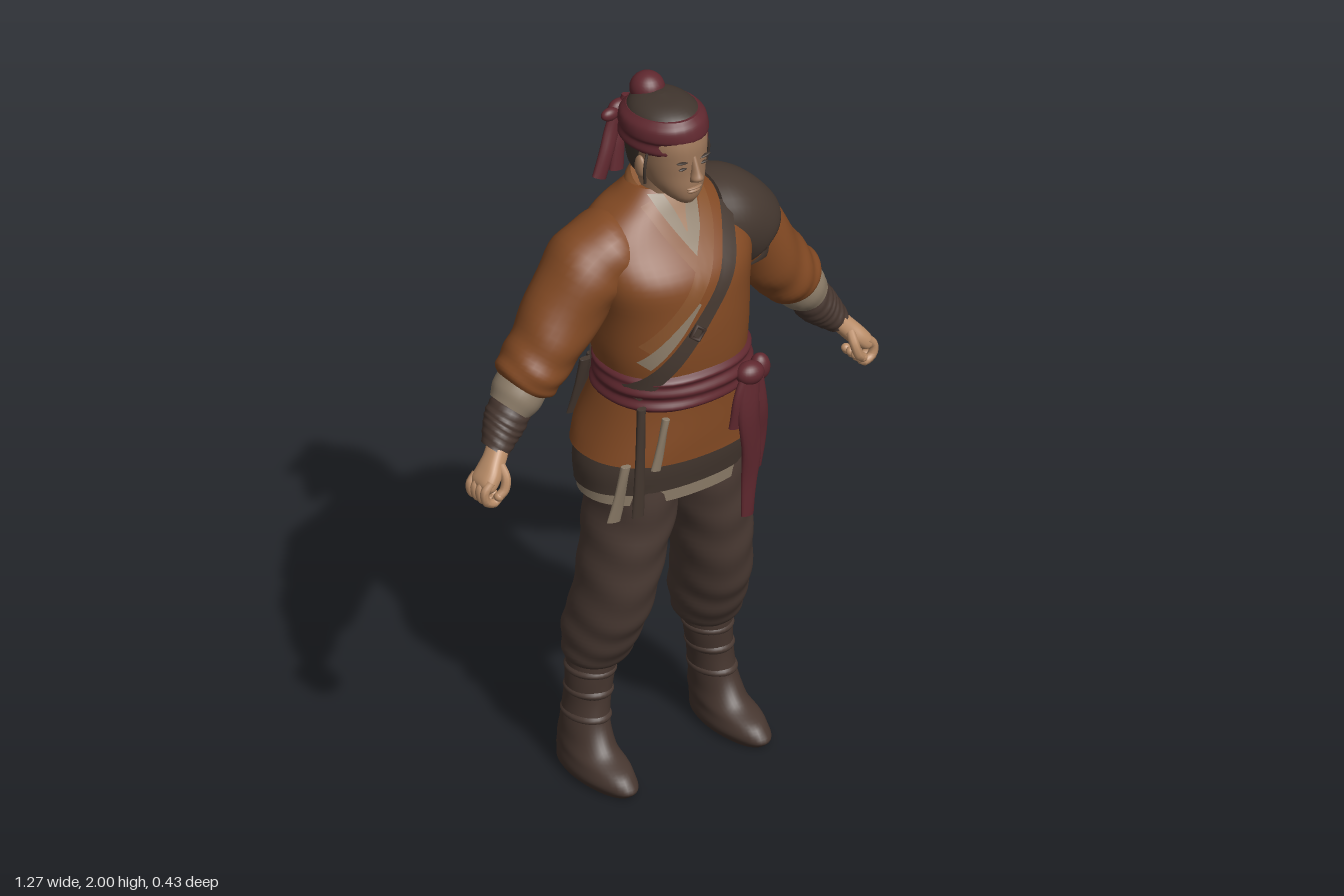
import * as THREE from 'three';

const mat = (name, color, extra) => Object.assign(new THREE.MeshStandardMaterial({ color, ...extra }), { name });
const M = {
  jacket: mat('rust jacket', 0x824923),
  lapel: mat('tan lapel', 0x87522b, { side: THREE.DoubleSide }),
  trousers: mat('brown trousers', 0x4b3b34),
  boots: mat('boot leather', 0x46362f),
  leather: mat('grey leather', 0x453830, { side: THREE.DoubleSide }),
  sash: mat('wine sash', 0x60282f),
  linen: mat('linen', 0x8d7d69, { side: THREE.DoubleSide }),
  skin: mat('hand skin', 0xbb8e69),
  face: mat('face skin', 0x9d775a, { side: THREE.DoubleSide }),
  hair: mat('dark hair', 0x40352e),
};

// Smoothly subdivide rows of [x, y, z, halfWidth, halfDepth]
function sample(rows, steps) {
  const path = new THREE.CatmullRomCurve3(rows.map(r => new THREE.Vector3(r[0], r[1], r[2])), false, 'catmullrom', 0.5);
  const size = new THREE.CatmullRomCurve3(rows.map(r => new THREE.Vector3(r[3], r[4], 0)), false, 'catmullrom', 0.5);
  const n = (rows.length - 1) * steps;
  return Array.from({ length: n + 1 }, (_, i) => {
    const c = path.getPoint(i / n), s = size.getPoint(i / n);
    return [c.x, c.y, c.z, s.x, s.y];
  });
}

// Skin a closed tube over oval cross-sections; flat keeps every section level
function loft(group, name, material, rows, { n = 28, steps = 5, p = 2, flat = false, fold = 0, freq = 20, tilt = 0 } = {}) {
  const list = sample(rows, steps), last = list.length - 1, pos = [], idx = [];
  const rings = list.map((r, i) => {
    const a = list[Math.max(0, i - 1)], b = list[Math.min(last, i + 1)];
    let tx = flat ? 0 : b[0] - a[0], ty = b[1] - a[1];
    const len = Math.hypot(tx, ty) || 1;
    tx /= len; ty /= len;
    return Array.from({ length: n }, (_, j) => {
      const th = j / n * Math.PI * 2, c = Math.cos(th), s = Math.sin(th);
      const k = 1 + fold * Math.sin(freq * i / last + 1.6 * Math.sin(2 * th + 1) + Math.cos(th));
      const u = Math.sign(c) * Math.abs(c) ** (2 / p) * r[3] * k;
      const v = Math.sign(s) * Math.abs(s) ** (2 / p) * r[4] * k;
      return [r[0] - ty * u, r[1] + tx * u + tilt * s, r[2] + v];
    });
  });
  rings.forEach(ring => ring.forEach(q => pos.push(...q)));
  for (let i = 0; i < last; i++) for (let j = 0; j < n; j++) {
    const a = i * n + j, b = i * n + (j + 1) % n;
    idx.push(a, b, b + n, a, b + n, a + n);
  }
  [0, last].forEach(e => {                       // end caps
    const base = pos.length / 3;
    rings[e].forEach(q => pos.push(...q));
    pos.push(list[e][0], list[e][1], list[e][2]);
    for (let j = 0; j < n; j++) {
      const a = base + j, b = base + (j + 1) % n;
      idx.push(base + n, e ? a : b, e ? b : a);
    }
  });
  return addMesh(group, name, material, pos, idx);
}

function addMesh(group, name, material, pos, idx) {
  const g = new THREE.BufferGeometry();
  g.setAttribute('position', new THREE.Float32BufferAttribute(pos, 3));
  g.setIndex(idx);
  g.computeVertexNormals();
  return add(group, name, material, g);
}

function add(group, name, material, geometry, x = 0, y = 0, z = 0, scale = [1, 1, 1]) {
  const m = new THREE.Mesh(geometry, material);
  m.name = name;
  m.position.set(x, y, z);
  m.scale.set(...scale);
  group.add(m);
  return m;
}

const ball = new THREE.SphereGeometry(1, 24, 16);
const tube = (pts, r) => new THREE.TubeGeometry(new THREE.CatmullRomCurve3(pts.map(q => new THREE.Vector3(...q))), 12, r, 8);

const TORSO_P = 2.3;
const TORSO = [
  [0, 1.10, -.01, .205, .165], [0, 1.20, -.005, .198, .168], [0, 1.29, -.012, .208, .184],
  [0, 1.40, -.022, .215, .19], [0, 1.50, -.028, .233, .182], [0, 1.58, -.055, .232, .146],
  [0, 1.64, -.065, .18, .112], [0, 1.68, -.065, .115, .087], [0, 1.71, -.065, .078, .066]];
const TORSO_FINE = sample(TORSO, 5);

// Depth of the torso surface at (x, y), on the front (+1) or back (-1)
function torsoZ(x, y, side, off) {
  let i = TORSO_FINE.findIndex(r => r[1] >= y);
  if (i < 1) i = i < 0 ? TORSO_FINE.length - 1 : 1;
  const a = TORSO_FINE[i - 1], b = TORSO_FINE[i], t = THREE.MathUtils.clamp((y - a[1]) / (b[1] - a[1]), 0, 1);
  const mix = k => a[k] + (b[k] - a[k]) * t;
  const k = Math.min(1, Math.abs(x) / (mix(3) + off));
  return mix(2) + side * (mix(4) + off) * (1 - k ** TORSO_P) ** (1 / TORSO_P);
}

// Cloth strip through [x, y, width] points, lying on the torso
function ribbon(group, name, material, pts, side, off) {
  const curve = new THREE.CatmullRomCurve3(pts.map(q => new THREE.Vector3(...q)));
  const N = 28, C = 4, pos = [], idx = [];
  for (let i = 0; i <= N; i++) {
    const c = curve.getPoint(i / N), t = curve.getTangent(i / N), l = Math.hypot(t.x, t.y);
    for (let j = 0; j <= C; j++) {
      const w = (j / C - .5) * c.z, x = c.x - t.y / l * w, y = c.y + t.x / l * w;
      pos.push(x, y, torsoZ(x, y, side, off));
      const a = i * (C + 1) + j;
      if (i < N && j < C) {
        const q = [a, a + C + 1, a + C + 2, a, a + C + 2, a + 1];
        idx.push(...(side > 0 ? q.reverse() : q));
      }
    }
  }
  addMesh(group, name, material, pos, idx);
}

function buildHead(g) {
  loft(g, 'neck', M.face, [[0, 1.58, -.055, .065, .06], [0, 1.68, -.045, .06, .062], [0, 1.77, -.03, .064, .07]], { flat: true });
  loft(g, 'face', M.face, [
    [0, 1.70, .052, .024, .034], [0, 1.72, .032, .048, .066], [0, 1.75, .008, .068, .095], [0, 1.79, -.01, .081, .112],
    [0, 1.83, -.012, .087, .115], [0, 1.87, -.016, .09, .118], [0, 1.92, -.02, .08, .11]], { flat: true, p: 2.15 });
  loft(g, 'nose', M.face, [[0, 1.845, .094, .007, .01], [0, 1.805, .106, .011, .017], [0, 1.785, .112, .017, .019], [0, 1.772, .1, .013, .01]], { flat: true, n: 14 });
  add(g, 'upperLip', M.face, ball, 0, 1.752, .1, [.024, .004, .009]);
  add(g, 'lowerLip', M.face, ball, 0, 1.742, .098, [.02, .006, .009]);
  for (const s of [-1, 1]) {
    add(g, 'eye', M.hair, ball, s * .034, 1.815, .097, [.013, .0035, .005]);
    add(g, 'brow', M.hair, ball, s * .036, 1.834, .098, [.018, .003, .006]).rotation.z = s * .15;
    add(g, 'ear', M.face, ball, s * .089, 1.792, -.012, [.012, .032, .019]);
    add(g, 'sideLock', M.hair, tube([[s * .09, 1.85, .02], [s * .102, 1.81, .025], [s * .098, 1.76, .02]], .004));
  }
  loft(g, 'backHair', M.hair, [[0, 1.73, -.075, .05, .045], [0, 1.77, -.06, .078, .073], [0, 1.85, -.05, .097, .092]], { flat: true });
  loft(g, 'hairCrown', M.hair, [[0, 1.88, -.03, .1, .123], [0, 1.93, -.033, .088, .108], [0, 1.956, -.04, .056, .07], [0, 1.966, -.045, .008, .01]], { flat: true });
  loft(g, 'headband', M.sash, [
    [0, 1.836, -.03, .092, .118], [0, 1.85, -.034, .107, .131], [0, 1.872, -.034, .103, .128], [0, 1.886, -.034, .109, .134],
    [0, 1.915, -.034, .105, .128], [0, 1.934, -.034, .088, .108]], { flat: true, fold: .012, freq: 8, tilt: .005 });
  add(g, 'topKnot', M.sash, ball, 0, 1.953, -.102, [.046, .045, .047]);
  add(g, 'headbandKnot', M.sash, ball, -.05, 1.885, -.155, [.034, .026, .022]);
  add(g, 'headbandKnot', M.sash, ball, -.095, 1.89, -.135, [.026, .018, .016]);
  loft(g, 'headbandTail', M.sash, [[-.05, 1.89, -.158, .015, .014], [-.07, 1.83, -.158, .023, .014], [-.095, 1.77, -.15, .022, .014], [-.122, 1.705, -.145, .022, .012]], { n: 14 });
  loft(g, 'headbandTail', M.sash, [[-.03, 1.92, -.148, .015, .014], [-.045, 1.84, -.162, .021, .014], [-.055, 1.78, -.155, .02, .014], [-.065, 1.71, -.148, .022, .012]], { n: 14 });
}

function buildTorso(g) {
  loft(g, 'jacketBody', M.jacket, TORSO, { n: 48, p: TORSO_P, flat: true, fold: .005, freq: 26 });
  loft(g, 'collar', M.lapel, [[0, 1.65, -.062, .1, .085], [0, 1.695, -.06, .085, .078], [0, 1.715, -.058, .07, .068]], { flat: true, tilt: -.03 });
  // crossed neckline
  ribbon(g, 'shirtNeckline', M.linen, [[-.008, 1.53, .004], [-.003, 1.62, .09], [0, 1.7, .14]], 1, .006);
  ribbon(g, 'chest', M.face, [[-.005, 1.61, .004], [-.003, 1.655, .03], [0, 1.7, .07]], 1, .009);
  ribbon(g, 'rightLapel', M.lapel, [[-.085, 1.685, .03], [-.058, 1.62, .034], [-.01, 1.53, .034]], 1, .009);
  ribbon(g, 'leftLapel', M.lapel, [[.085, 1.685, .03], [.058, 1.61, .04], [-.035, 1.49, .042], [-.17, 1.33, .04]], 1, .011);
  ribbon(g, 'shirtEdge', M.linen, [[-.035, 1.45, .008], [-.1, 1.375, .026], [-.175, 1.285, .034]], 1, .012);
  // shoulder strap
  ribbon(g, 'frontStrap', M.leather, [[.145, 1.63, .042], [.1, 1.555, .042], [-.06, 1.36, .042], [-.195, 1.19, .042]], 1, .014);
  ribbon(g, 'backStrap', M.leather, [[.14, 1.635, .036], [.09, 1.53, .036], [-.02, 1.37, .036], [-.165, 1.19, .036]], -1, .009);
  add(g, 'strapBuckle', M.boots, new THREE.TorusGeometry(.022, .006, 6, 4), -.05, 1.372, torsoZ(-.05, 1.372, 1, .016)).rotation.z = .1;
  // layered skirts
  loft(g, 'jacketSkirt', M.jacket, [[0, .985, -.024, .262, .19], [0, 1.04, -.023, .248, .188], [0, 1.12, -.012, .222, .175], [0, 1.2, 0, .195, .165]], { n: 48, p: 2.2, flat: true, fold: .008, freq: 5 });
  loft(g, 'leatherSkirt', M.leather, [[0, .88, -.03, .255, .164], [0, .95, -.028, .257, .176], [0, 1.04, -.02, .235, .175]], { n: 48, p: 2.2, flat: true, tilt: .012 });
  loft(g, 'shirtHem', M.linen, [[0, .853, -.028, .249, .158], [0, .95, -.028, .245, .165]], { n: 48, p: 2.2, flat: true, tilt: .004 });
  // sash, knot and hanging ends
  loft(g, 'sash', M.sash, [
    [0, 1.14, 0, .2, .168], [0, 1.155, .002, .216, .182], [0, 1.177, .002, .209, .176], [0, 1.195, .004, .215, .183],
    [0, 1.215, .003, .208, .176], [0, 1.23, .003, .21, .179], [0, 1.245, 0, .195, .165]], { n: 48, p: 2.2, flat: true, fold: .01, freq: 9 });
  add(g, 'sashKnot', M.sash, ball, .12, 1.19, .178, [.04, .032, .032]);
  add(g, 'sashLoop', M.sash, ball, .165, 1.185, .16, [.028, .038, .026]);
  loft(g, 'sashTail', M.sash, [[.115, 1.19, .185, .026, .016], [.11, 1.08, .188, .034, .016], [.12, .96, .182, .03, .013], [.122, .86, .172, .023, .011], [.12, .76, .168, .02, .008]], { n: 18, fold: .08, freq: 9 });
  loft(g, 'sashTail', M.sash, [[.135, 1.19, .18, .022, .014], [.15, 1.08, .18, .025, .014], [.155, .98, .168, .022, .01], [.15, .89, .16, .02, .008]], { n: 18, fold: .06, freq: 8 });
  loft(g, 'sashTail', M.sash, [[.105, 1.19, .185, .015, .012], [.085, 1.12, .182, .022, .012], [.075, 1.04, .176, .02, .01]], { n: 18, fold: .06, freq: 6 });
  // hanging scraps at the right hip and back
  const scraps = [
    [M.linen, [-.14, 1.14, .168], [-.165, .99, .158], .014],
    [M.leather, [-.19, 1.17, .13], [-.19, .84, .115], .018],
    [M.linen, [-.225, 1.0, .11], [-.245, .83, .085], .02],
    [M.leather, [-.165, 1.18, -.145], [-.165, 1.0, -.192], .024],
    [M.leather, [-.135, 1.18, -.16], [-.13, 1.03, -.202], .018]];
  for (const [m, a, b, w] of scraps) loft(g, 'hangingStrip', m, [[...a, w * .7, .01], [...b, w, .008]], { n: 12, fold: .1, freq: 7 });
}

function buildArm(s) {
  const g = new THREE.Group();
  g.name = s > 0 ? 'leftArm' : 'rightArm';
  const side = rows => rows.map(r => [s * r[0], ...r.slice(1)]);
  loft(g, 'sleeve', M.jacket, side([
    [.12, 1.56, -.06, .1, .11], [.19, 1.535, -.06, .112, .12], [.253, 1.48, -.062, .109, .114], [.342, 1.362, -.057, .096, .1],
    [.393, 1.298, -.055, .086, .095], [.425, 1.26, -.055, .083, .09], [.442, 1.238, -.054, .062, .07]]), { n: 32, fold: .03, freq: 30 });
  loft(g, 'shirtCuff', M.linen, side([[.415, 1.27, -.055, .064, .07], [.452, 1.222, -.054, .068, .073], [.478, 1.192, -.052, .056, .06]]));
  loft(g, 'bracer', M.boots, side([[.455, 1.215, -.052, .05, .055], [.49, 1.165, -.05, .056, .06], [.515, 1.135, -.042, .05, .053], [.545, 1.1, -.025, .036, .042]]), { fold: .025, freq: 40, steps: 8 });
  loft(g, 'hand', M.skin, side([[.52, 1.13, -.03, .028, .034], [.556, 1.088, -.008, .027, .033], [.58, 1.06, .002, .027, .04], [.602, 1.035, .005, .024, .043], [.61, 1.022, .005, .012, .036]]), { p: 2.4 });
  for (let i = 0; i < 4; i++) {
    const z = -.027 + i * .021;
    add(g, 'finger', M.skin, tube([[s * .6, 1.05, z], [s * .62, 1.025, z], [s * .614, .997, z], [s * .588, .987, z], [s * .578, 1.0, z]], .0125));
    add(g, 'fingertip', M.skin, ball, s * .578, 1.0, z, [.0125, .0125, .0125]);
  }
  add(g, 'thumb', M.skin, tube([[s * .558, 1.08, .018], [s * .556, 1.05, .04], [s * .565, 1.02, .045], [s * .58, 1.005, .042]], .013));
  add(g, 'thumbTip', M.skin, ball, s * .58, 1.005, .042, [.013, .013, .013]);
  return g;
}

function buildLeg(s) {
  const g = new THREE.Group();
  g.name = s > 0 ? 'leftLeg' : 'rightLeg';
  const side = rows => rows.map(r => [s * r[0], ...r.slice(1)]);
  loft(g, 'trouserLeg', M.trousers, side([
    [.11, .93, -.02, .112, .138], [.114, .8, -.022, .109, .137], [.133, .7, -.022, .103, .128], [.147, .6, -.028, .099, .122],
    [.16, .5, -.045, .094, .119], [.168, .43, -.07, .092, .116], [.173, .37, -.082, .088, .1], [.178, .33, -.09, .078, .082], [.18, .315, -.092, .06, .066]]),
  { n: 36, flat: true, p: 2.1, fold: .022, freq: 40 });
  loft(g, 'boot', M.boots, side([
    [.212, 0, -.036, .052, .142], [.212, .022, -.031, .066, .153], [.211, .055, -.045, .064, .138], [.208, .085, -.078, .06, .104],
    [.205, .13, -.092, .057, .083], [.197, .2, -.097, .056, .07], [.188, .28, -.095, .061, .07], [.182, .345, -.093, .064, .07]]),
  { n: 36, flat: true, fold: .01, freq: 30 });
  for (const [y, x, a, b] of [[.295, .187, .066, .075], [.235, .193, .062, .073], [.165, .201, .06, .079]])
    loft(g, 'bootStrap', M.trousers, side([[x, y - .011, -.095, a - .006, b - .006], [x, y, -.095, a, b], [x, y + .011, -.095, a - .006, b - .006]]), { flat: true, steps: 2 });
  return g;
}

export function createModel() {
  const model = new THREE.Group();
  model.name = 'wanderer';
  const head = new THREE.Group(), torso = new THREE.Group();
  head.name = 'head';
  torso.name = 'torso';
  buildHead(head);
  buildTorso(torso);
  model.add(head, torso);
  for (const s of [-1, 1]) model.add(buildArm(s), buildLeg(s));
  // padded guard over the left shoulder
  loft(model, 'shoulderGuard', M.leather, [
    [.115, 1.563, -.058, .112, .126], [.185, 1.54, -.06, .122, .14], [.235, 1.5, -.061, .121, .136], [.266, 1.463, -.061, .115, .123], [.269, 1.459, -.061, .1, .11]],
  { n: 36, p: 2.1 });
  return model;
}
